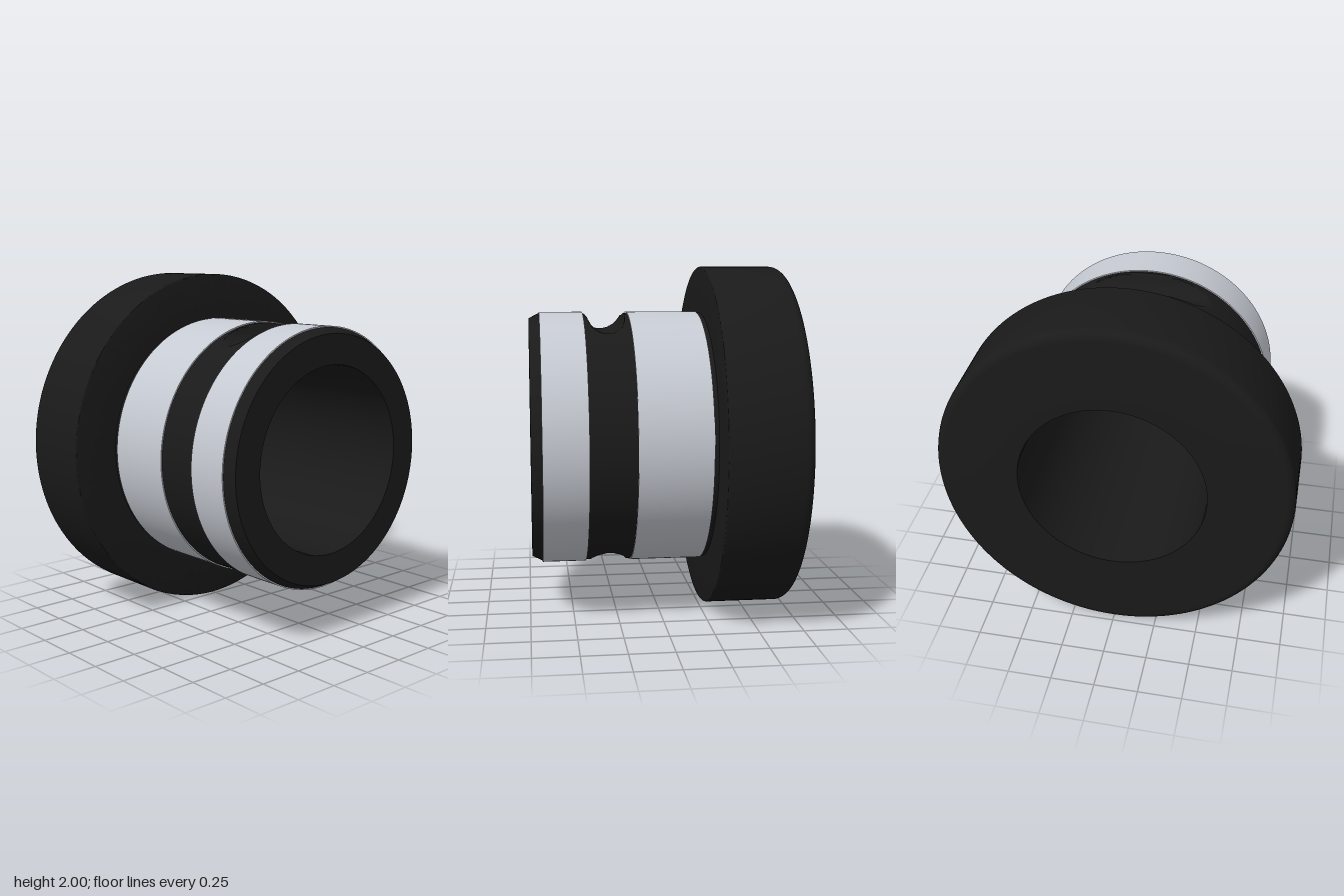
import * as THREE from 'three';
import { toCreasedNormals } from 'three/addons/utils/BufferGeometryUtils.js';

const SEGMENTS = 192;
const SHAFT = 0.73, BORE = 0.53;
const NOTCH = { x: 0.295, r: 0.11, from: 0.166, to: 0.424 };

// Revolves [x, radius] points about the x axis
function revolve(points) {
  const profile = points.map(([x, r]) => new THREE.Vector2(r, x));
  return new THREE.LatheGeometry(profile, SEGMENTS).rotateZ(-Math.PI / 2);
}

function makeMesh(name, geometry, material) {
  const mesh = new THREE.Mesh(toCreasedNormals(geometry, 0.5), material);
  mesh.name = name;
  return mesh;
}

// Quarter-round corner as [x, radius] points
function corner(cx, cr, radius, start, end, steps) {
  return Array.from({ length: steps + 1 }, (_, i) => {
    const a = start + (end - start) * i / steps;
    return [cx + radius * Math.cos(a), cr + radius * Math.sin(a)];
  });
}

// Round channel with softened lips
function notchProfile() {
  const arc = corner(NOTCH.x, 0.735, NOTCH.r, Math.PI * 1.07, Math.PI * 1.93, 20);
  return [[NOTCH.from, SHAFT], [0.177, 0.726], ...arc, [0.413, 0.726], [NOTCH.to, SHAFT]];
}

// Turns the revolved groove into two straight channels, across the top and bottom
function straightenNotch(geometry) {
  const p = geometry.attributes.position;
  for (let i = 0; i < p.count; i++) {
    const x = p.getX(i), y = p.getY(i), z = p.getZ(i);
    const depth = Math.hypot(y, z);
    if (x < NOTCH.from || x > NOTCH.to || depth < 0.58) continue;
    const cos = Math.max(Math.abs(y) / depth, 1e-4);
    const s = Math.min(SHAFT, depth / cos) / depth;
    p.setXYZ(i, x, y * s, z * s);
  }
  return geometry;
}

export function createModel() {
  const group = new THREE.Group();
  group.name = 'flangedBushing';
  const black = new THREE.MeshStandardMaterial({ color: 0x1a1a1a });
  const silver = new THREE.MeshStandardMaterial({ color: 0xc6cad2 });

  // Flange, notched shaft, chamfered end and through bore
  const body = revolve([
    [-0.735, BORE],
    ...corner(-0.68, 0.945, 0.055, Math.PI, Math.PI / 2, 8),
    ...corner(-0.28, 0.99, 0.01, Math.PI / 2, 0, 3),
    [-0.27, SHAFT],
    ...notchProfile(),
    [0.675, SHAFT], [0.735, 0.7], [0.735, BORE], [-0.735, BORE],
  ]);
  group.add(makeMesh('body', straightenNotch(body), black));

  // Metal sleeves either side of the channels
  const sleeves = [['wideSleeve', -0.245, 0.165], ['narrowSleeve', 0.425, 0.675]];
  for (const [name, a, b] of sleeves) {
    const r = 0.737;
    group.add(makeMesh(name, revolve([[a, SHAFT - 0.01], [a, r], [b, r], [b, SHAFT - 0.01]]), silver));
  }

  group.position.y = 1;
  const model = new THREE.Group();
  model.add(group);
  return model;
}
